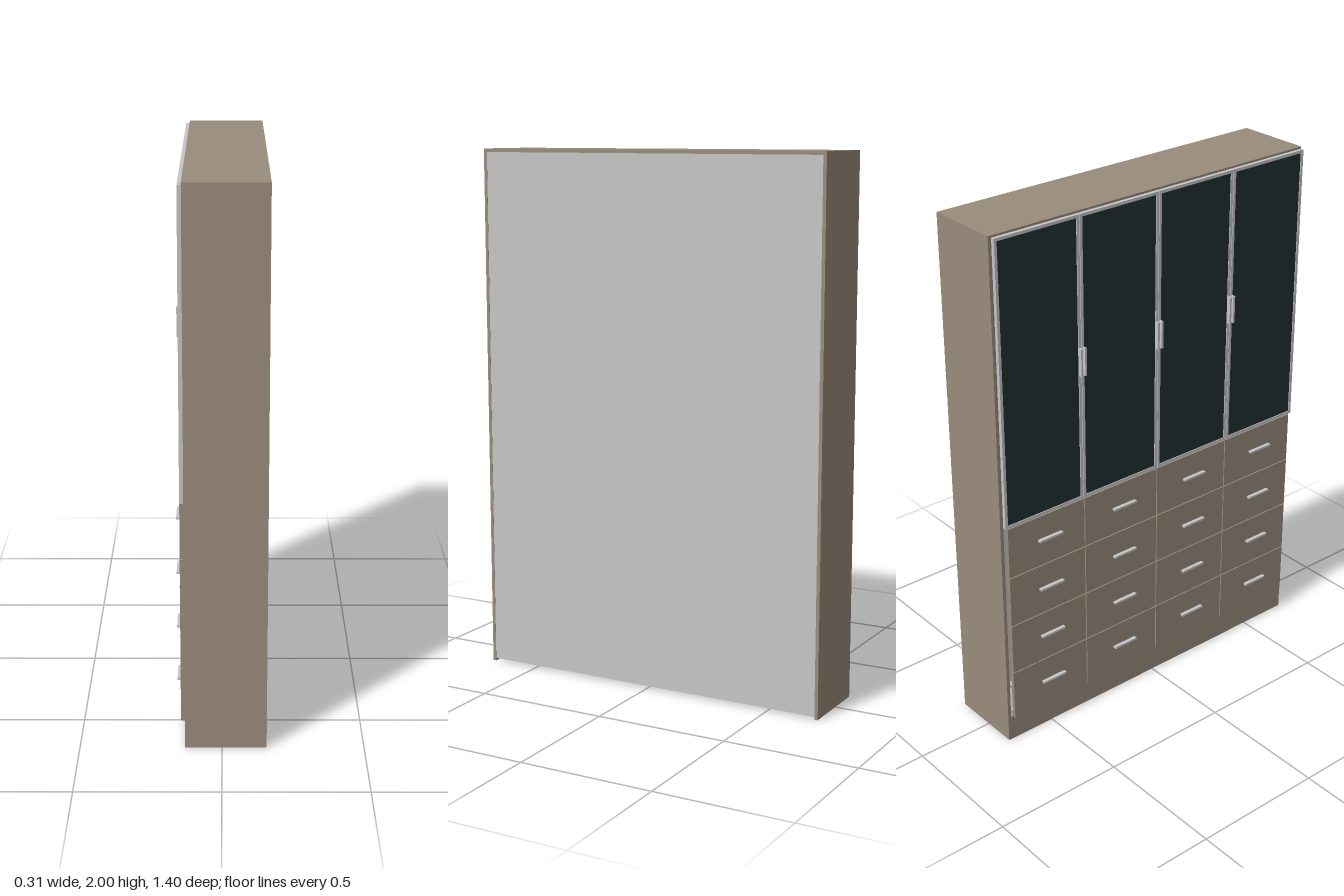
import * as THREE from 'three';

const wood = new THREE.MeshStandardMaterial({ name: 'taupe wood', color: 0x998c7b });
const silver = new THREE.MeshStandardMaterial({ name: 'silver metal', color: 0xc6c6c8 });
const backing = new THREE.MeshStandardMaterial({ name: 'grey backing', color: 0xc6c6c6 });
const glass = new THREE.MeshStandardMaterial({ name: 'dark glass', color: 0x223030 });

// Box given by its lower and upper limits on each axis
function slab(name, material, [x0, x1], [y0, y1], [z0, z1]) {
  const mesh = new THREE.Mesh(new THREE.BoxGeometry(x1 - x0, y1 - y0, z1 - z0), material);
  mesh.name = name;
  mesh.position.set((x0 + x1) / 2, (y0 + y1) / 2, (z0 + z1) / 2);
  return mesh;
}

const FRONT = -0.13, BACK = 0.157, HALF = 0.7, T = 0.013;
const FACE = -0.144, GRIP = -0.158;

// Open-bottomed case
function makeCarcass() {
  const g = new THREE.Group();
  g.name = 'carcass';
  for (const s of [-1, 1]) {
    const z = [s * HALF, s * (HALF - T)].sort((a, b) => a - b);
    g.add(slab('sidePanel', wood, [FRONT, BACK], [0, 2], z));
  }
  const inner = [-HALF + T, HALF - T];
  g.add(slab('topPanel', wood, [FRONT, BACK], [2 - T, 2], inner));
  g.add(slab('plinth', wood, [FRONT, FRONT + T], [0, 0.1], inner));
  g.add(slab('backPanel', backing, [BACK - 0.006, BACK - 0.001], [0.01, 2 - T], inner));
  return g;
}

// Drawer front with its bar handle
function makeDrawer(z0, z1, y0, y1) {
  const g = new THREE.Group();
  g.name = 'drawer';
  const gap = 0.002, mid = (z0 + z1) / 2 + 0.011, y = (y0 + y1) / 2 + 0.006;
  g.add(slab('drawerFront', wood, [FACE, FRONT], [y0 + gap, y1 - gap], [z0 + gap, z1 - gap]));
  g.add(slab('drawerHandle', silver, [GRIP, FACE], [y - 0.004, y + 0.004], [mid - 0.052, mid + 0.052]));
  return g;
}

// Framed glass door
function makeDoor(z0, z1, y0, y1) {
  const g = new THREE.Group();
  g.name = 'glassDoor';
  const w = 0.011, a = z0 + 0.001, b = z1 - 0.001, x = [FACE, FRONT];
  g.add(slab('doorStile', silver, x, [y0, y1], [a, a + w]));
  g.add(slab('doorStile', silver, x, [y0, y1], [b - w, b]));
  g.add(slab('doorRail', silver, x, [y0, y0 + w], [a + w, b - w]));
  g.add(slab('doorRail', silver, x, [y1 - w, y1], [a + w, b - w]));
  g.add(slab('doorGlass', glass, [FACE + 0.003, FRONT - 0.003], [y0 + w, y1 - w], [a + w, b - w]));
  return g;
}

export function createModel() {
  const model = new THREE.Group();
  model.name = 'cabinet';
  model.add(makeCarcass());

  // Four columns of four drawers
  const dz = 0.3425, dy = 0.204;
  for (let c = 0; c < 4; c++) {
    for (let r = 0; r < 4; r++) {
      const z = -0.68 + c * dz, y = 0.098 + r * dy;
      model.add(makeDrawer(z, z + dz, y, y + dy));
    }
  }

  // Four doors above, with paired upright handles at each joint
  const doorWidth = 0.347;
  for (let c = 0; c < 4; c++) {
    const z = -0.688 + c * doorWidth;
    model.add(makeDoor(z, z + doorWidth, 0.916, 1.992));
    if (c === 0) continue;
    for (const s of [-1, 1]) {
      const m = z + s * 0.0085;
      model.add(slab('doorHandle', silver, [GRIP, FACE], [1.405, 1.51], [m - 0.004, m + 0.004]));
    }
  }
  return model;
}
